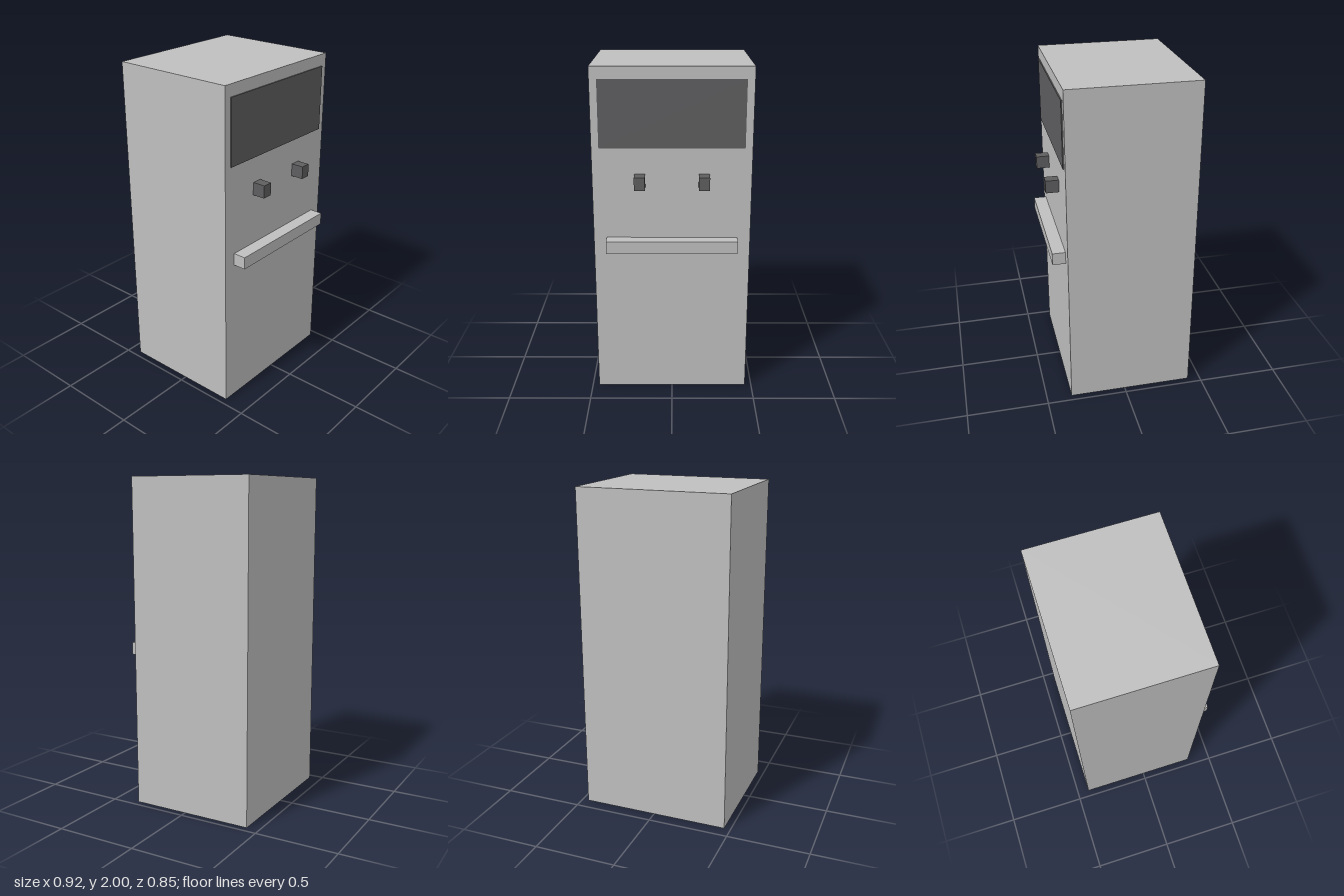
import * as THREE from 'three';

const FRONT = 0.345; // z of the cabinet's front face

export function createModel() {
  const group = new THREE.Group();
  const lightGrey = new THREE.MeshStandardMaterial({ color: 0xbfbfc0 });
  lightGrey.name = 'lightGrey';
  const darkGrey = new THREE.MeshStandardMaterial({ color: 0x5e5e60 });
  darkGrey.name = 'darkGrey';

  // Box given by its extents on each axis
  const addBox = (name, material, [x0, x1], [y0, y1], [z0, z1]) => {
    const mesh = new THREE.Mesh(new THREE.BoxGeometry(x1 - x0, y1 - y0, z1 - z0), material);
    mesh.position.set((x0 + x1) / 2, (y0 + y1) / 2, (z0 + z1) / 2);
    mesh.name = name;
    group.add(mesh);
  };

  // Cabinet
  addBox('cabinet', lightGrey, [-0.46, 0.46], [0, 2], [-0.423, FRONT]);

  // Thin display panel
  addBox('displayPanel', darkGrey, [-0.417, 0.417], [1.54, 1.93], [FRONT, 0.352]);

  // Pair of square knobs
  for (const [name, x] of [['leftKnob', 0.185], ['rightKnob', -0.185]]) {
    addBox(name, darkGrey, [x - 0.031, x + 0.031], [1.31, 1.387], [FRONT, 0.423]);
  }

  // Horizontal ledge
  addBox('ledge', lightGrey, [-0.384, 0.384], [0.925, 1.0], [FRONT, 0.423]);

  return group;
}
